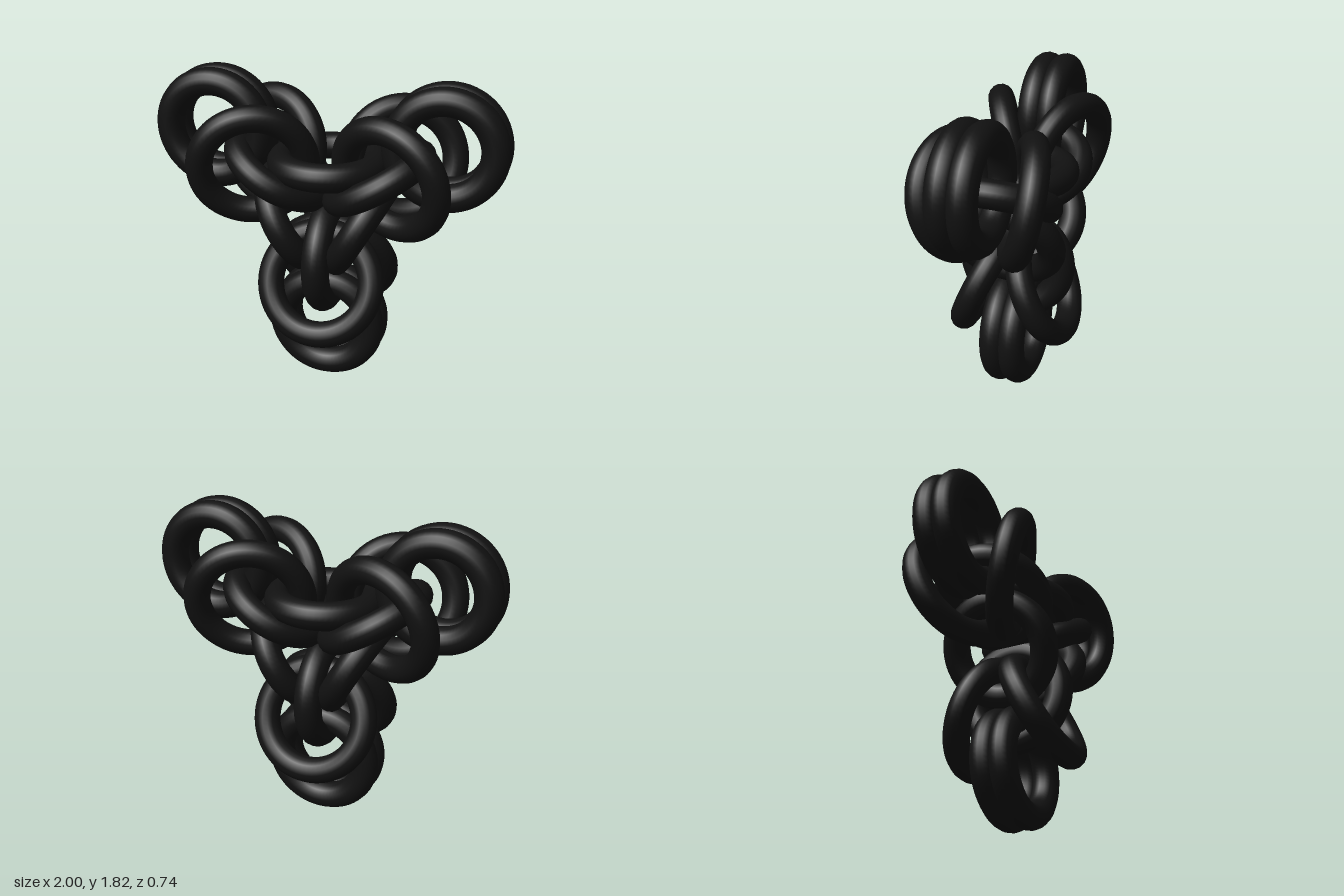
import * as THREE from 'three';

const CENTRE_Y = 1.1;
const TILT = THREE.MathUtils.degToRad(25);

export function createModel() {
  const model = new THREE.Group();
  model.name = 'chainWeave';
  const metal = new THREE.MeshStandardMaterial({ color: 0x111111 });

  const wideRing = new THREE.TorusGeometry(0.295, 0.075, 16, 64);
  const ring = new THREE.TorusGeometry(0.267, 0.078, 16, 64);

  function addRing(parent, name, geometry, position, rotation) {
    const mesh = new THREE.Mesh(geometry, metal);
    mesh.name = name;
    mesh.position.set(...position);
    mesh.rotation.set(...rotation);
    parent.add(mesh);
  }

  // Three identical arms around the centre; each is laid out pointing down
  for (let i = 0; i < 3; i++) {
    const arm = new THREE.Group();
    arm.name = `arm${i + 1}`;
    arm.position.y = CENTRE_Y;
    arm.rotation.z = (i * 2 * Math.PI) / 3;

    // Mirrored front and back rings
    for (const side of [1, -1]) {
      const label = side > 0 ? 'Front' : 'Back';
      addRing(arm, `endRing${label}`, ring, [0, -0.755, side * 0.055], [0, 0, 0]);
      addRing(arm, `splayedRing${label}`, wideRing, [0, -0.445, side * 0.17], [-side * TILT, 0, 0]);
    }

    // Upright link running along the arm
    addRing(arm, 'radialRing', ring, [0, -0.33, 0], [0, Math.PI / 2, 0]);
    // Core link lying across, opposite the arm
    addRing(arm, 'coreRing', ring, [0, 0.23, 0], [Math.PI / 2, 0, 0]);

    model.add(arm);
  }
  return model;
}
